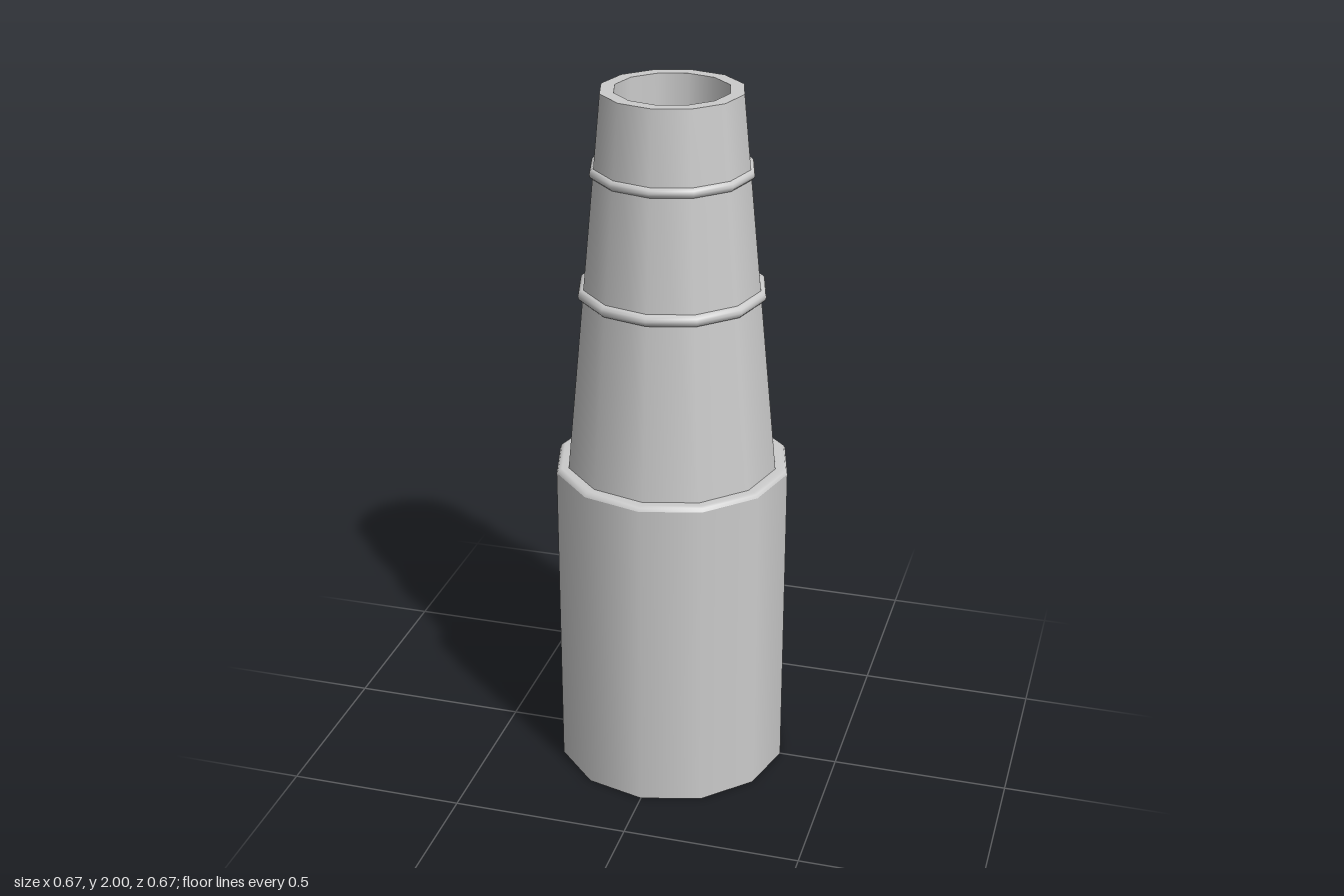
import * as THREE from 'three';

const SIDES = 12;
const material = new THREE.MeshStandardMaterial({ color: 0xcccccc });

// Twelve-sided smooth surface turned from [radius, height] pairs
function turned(name, profile) {
  const points = profile.map(([r, y]) => new THREE.Vector2(r, y));
  const mesh = new THREE.Mesh(new THREE.LatheGeometry(points, SIDES), material);
  mesh.name = name;
  return mesh;
}

export function createModel() {
  const model = new THREE.Group();
  model.name = 'taperedNozzle';

  // Straight lower sleeve with a closed base and a softened top edge
  const sleeve = new THREE.Group();
  sleeve.name = 'sleeve';
  sleeve.add(
    turned('sleeveBase', [[0, 0], [0.333, 0]]),
    turned('sleeveWall', [[0.333, 0], [0.333, 0.924]]),
    turned('sleeveShoulder', [[0.333, 0.924], [0.328, 0.933], [0.318, 0.936], [0.296, 0.936]])
  );
  model.add(sleeve);

  // Tapered neck and its flat rim
  model.add(turned('neck', [[0.3, 0.92], [0.195, 2]]));
  model.add(turned('rim', [[0.195, 2], [0.157, 2]]));

  // Bore ending in a rounded floor
  const bore = [[0.157, 2], [0.157, 1.4]];
  for (let i = 1; i <= 8; i++) {
    const a = (i / 8) * Math.PI / 2;
    bore.push([i === 8 ? 0 : 0.157 * Math.cos(a), 1.4 - 0.157 * Math.sin(a)]);
  }
  model.add(turned('bore', bore));

  // Two rounded bands around the neck
  for (const [name, radius, y, tube] of [
    ['lowerBand', 0.246, 1.445, 0.017],
    ['upperBand', 0.211, 1.784, 0.015],
  ]) {
    const band = new THREE.Mesh(new THREE.TorusGeometry(radius, tube, 12, SIDES), material);
    band.name = name;
    band.rotation.x = Math.PI / 2;
    band.position.y = y;
    model.add(band);
  }

  return model;
}
